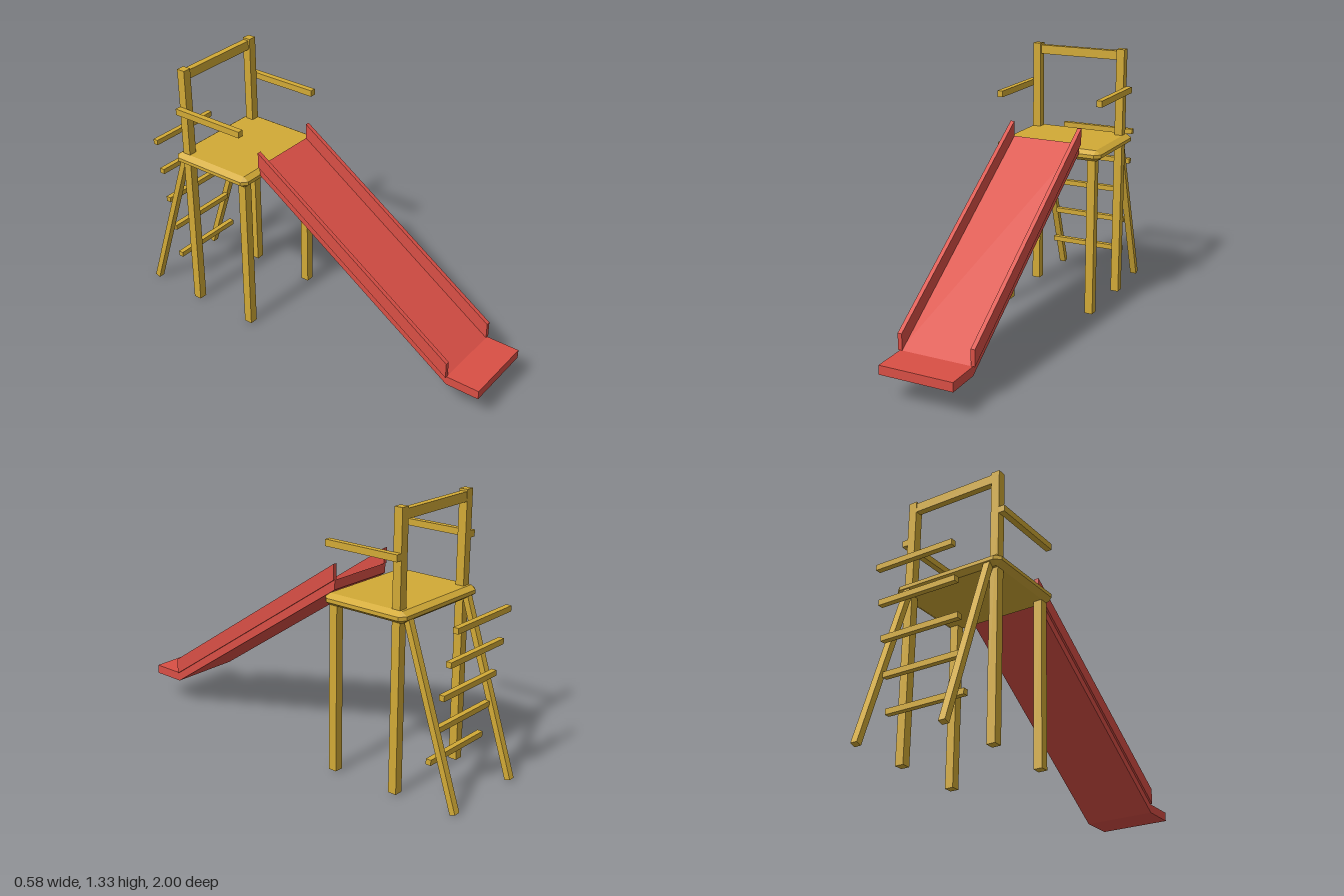
import * as THREE from 'three';
import { ConvexGeometry } from 'three/addons/geometries/ConvexGeometry.js';

const wood = new THREE.MeshStandardMaterial({ color: 0xd2aa36 });
wood.name = 'yellow wood';
const red = new THREE.MeshStandardMaterial({ color: 0xd94f45 });
red.name = 'red plastic';

export function createModel() {
  const model = new THREE.Group();
  model.name = 'playgroundSlide';

  const add = (name, geometry, material) => {
    const mesh = new THREE.Mesh(geometry, material);
    mesh.name = name;
    model.add(mesh);
    return mesh;
  };

  // Box given by its minimum and maximum corners
  const box = (name, [x0, y0, z0], [x1, y1, z1]) => {
    const mesh = add(name, new THREE.BoxGeometry(x1 - x0, y1 - y0, z1 - z0), wood);
    mesh.position.set((x0 + x1) / 2, (y0 + y1) / 2, (z0 + z1) / 2);
    return mesh;
  };

  // Side outline of (z, y) points extruded across x
  const sidePanel = (name, points, width, x, material) => {
    const shape = new THREE.Shape(points.map(([z, y]) => new THREE.Vector2(z, y)));
    const geometry = new THREE.ExtrudeGeometry(shape, { depth: width, bevelEnabled: false });
    geometry.translate(0, 0, -width / 2).rotateY(-Math.PI / 2);
    add(name, geometry, material).position.x = x;
  };

  // Platform: a board with every edge chamfered
  const [hx, hy, hz] = [0.288, 0.028, 0.228];
  const [cx, cy, cz] = [0.029, 0.019, 0.026];
  const corners = [];
  for (const sx of [-1, 1]) for (const sy of [-1, 1]) for (const sz of [-1, 1]) {
    corners.push(
      new THREE.Vector3(sx * hx, sy * (hy - cy), sz * (hz - cz)),
      new THREE.Vector3(sx * (hx - cx), sy * hy, sz * (hz - cz)),
      new THREE.Vector3(sx * (hx - cx), sy * (hy - cy), sz * hz));
  }
  add('platform', new ConvexGeometry(corners), wood).position.set(0, 0.854, -0.5);

  // Posts, handrails, ladder rails and slide walls on both sides
  const foot = new THREE.Vector2(-0.984, 0.006);
  const head = new THREE.Vector2(-0.706, 0.848);
  for (const [side, s] of [['left', 1], ['right', -1]]) {
    const mirrored = (name, a, b) => {
      const mesh = box(name, a, b);
      mesh.position.x *= s;
    };
    mirrored(side + 'FrontPost', [0.215, 0.01, -0.337], [0.258, 0.84, -0.294]);
    mirrored(side + 'BackPost', [0.215, 0.01, -0.69], [0.258, 1.33, -0.647]);
    mirrored(side + 'Handrail', [0.258, 1.102, -0.69], [0.288, 1.134, -0.294]);

    const rail = add(side + 'LadderRail',
      new THREE.BoxGeometry(0.034, foot.distanceTo(head), 0.029), wood);
    rail.position.set(s * 0.221, (foot.y + head.y) / 2, (foot.x + head.x) / 2);
    rail.rotation.x = Math.atan2(head.x - foot.x, head.y - foot.y);

    sidePanel(side + 'SlideWall',
      [[-0.262, 0.917], [0.829, 0.18], [0.829, 0.26], [-0.262, 0.994]], 0.021, s * 0.1845, red);
  }

  // Bar joining the tall back posts
  box('topBar', [-0.215, 1.274, -0.688], [0.215, 1.32, -0.656]);

  // Ladder rungs
  for (let i = 0; i < 5; i++) {
    const y = 0.196 + i * 0.16;
    const z = -0.824 - i * 0.029;
    box('rung' + (i + 1), [-0.204, y - 0.0135, z - 0.0135], [0.204, y + 0.0135, z + 0.0135]);
  }

  // Slide bed with its flat run-out
  sidePanel('slideBed', [
    [-0.262, 0.917], [-0.262, 0.87], [0.829, 0.135], [1, 0.135], [1, 0.18], [0.829, 0.18],
  ], 0.37, 0, red);

  return model;
}
